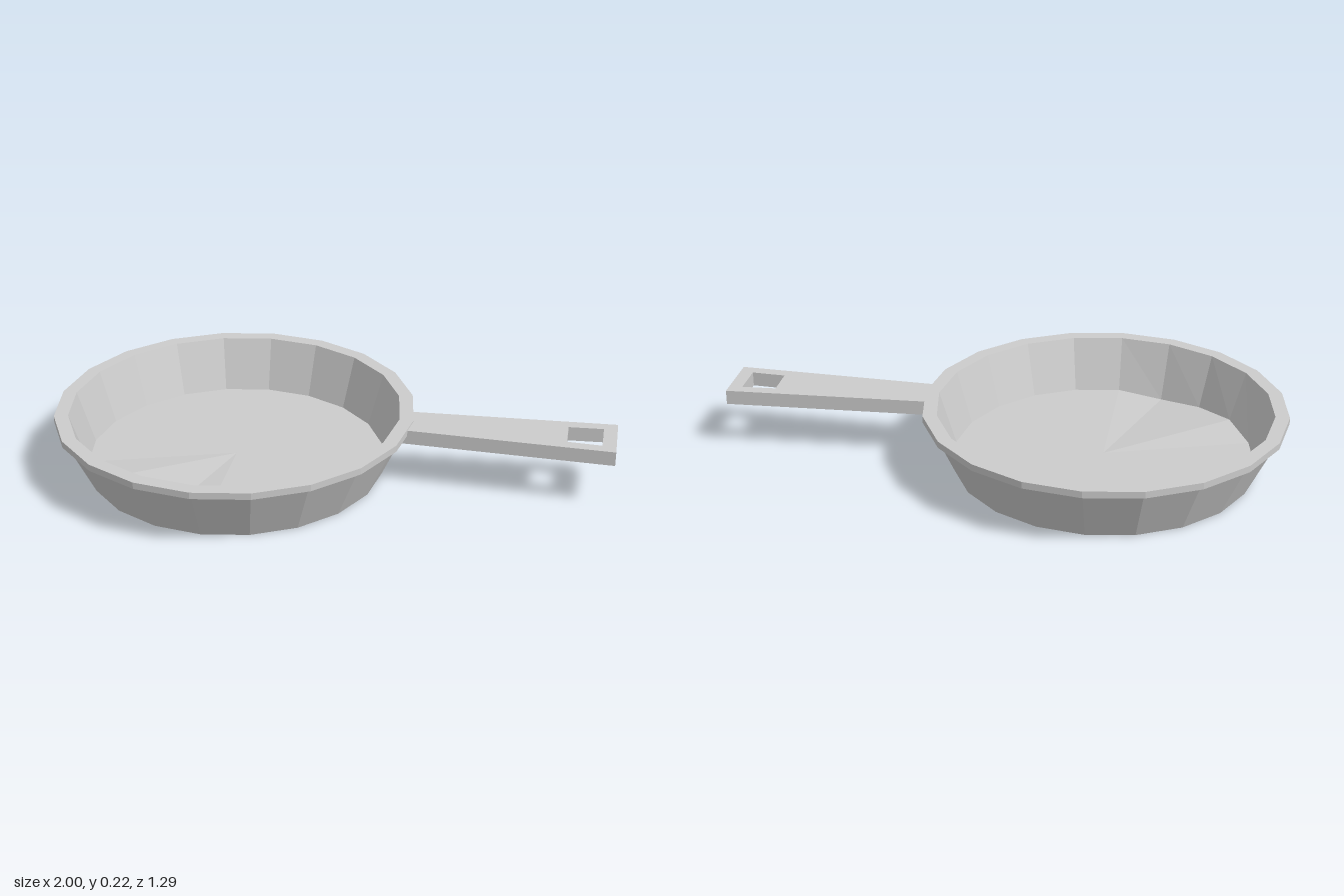
import * as THREE from 'three';

const SIDES = 20;
const PAN_X = -0.355;

export function createModel() {
  const group = new THREE.Group();
  const material = new THREE.MeshStandardMaterial({ color: 0xcccccc, flatShading: true });

  // Bowl: underside, sloping wall, lipped rim, inner wall and floor in one closed profile
  const profile = [
    [0, 0], [0.535, 0], [0.625, 0.192], [0.645, 0.198],
    [0.645, 0.222], [0.595, 0.222], [0.535, 0.03], [0, 0.03],
  ].map(([r, y]) => new THREE.Vector2(r, y));
  const bowlGeometry = new THREE.LatheGeometry(profile, SIDES);

  // Slight unevenness of the floor edge: one corner raised, one sunk
  const position = bowlGeometry.attributes.position;
  const floorEdge = (side) => side * profile.length + 6;
  position.setY(floorEdge(17), 0.045);
  position.setY(floorEdge(19), 0.015);

  const bowl = new THREE.Mesh(bowlGeometry, material);
  bowl.name = 'bowl';
  bowl.position.x = PAN_X;
  group.add(bowl);

  // Handle: widening bar with a hanging hole, extruded upwards
  const trapezoid = (path, x0, w0, x1, w1) => {
    path.moveTo(x0, -w0);
    path.lineTo(x1, -w1);
    path.lineTo(x1, w1);
    path.lineTo(x0, w0);
    path.closePath();
    return path;
  };
  const outline = trapezoid(new THREE.Shape(), 0.245, 0.073, 1, 0.105);
  outline.holes.push(trapezoid(new THREE.Path(), 0.83, 0.056, 0.952, 0.063));
  const handleGeometry = new THREE.ExtrudeGeometry(outline, { depth: 0.052, bevelEnabled: false });
  handleGeometry.rotateX(-Math.PI / 2);
  const handle = new THREE.Mesh(handleGeometry, material);
  handle.name = 'handle';
  handle.position.y = 0.166;
  group.add(handle);

  return group;
}
